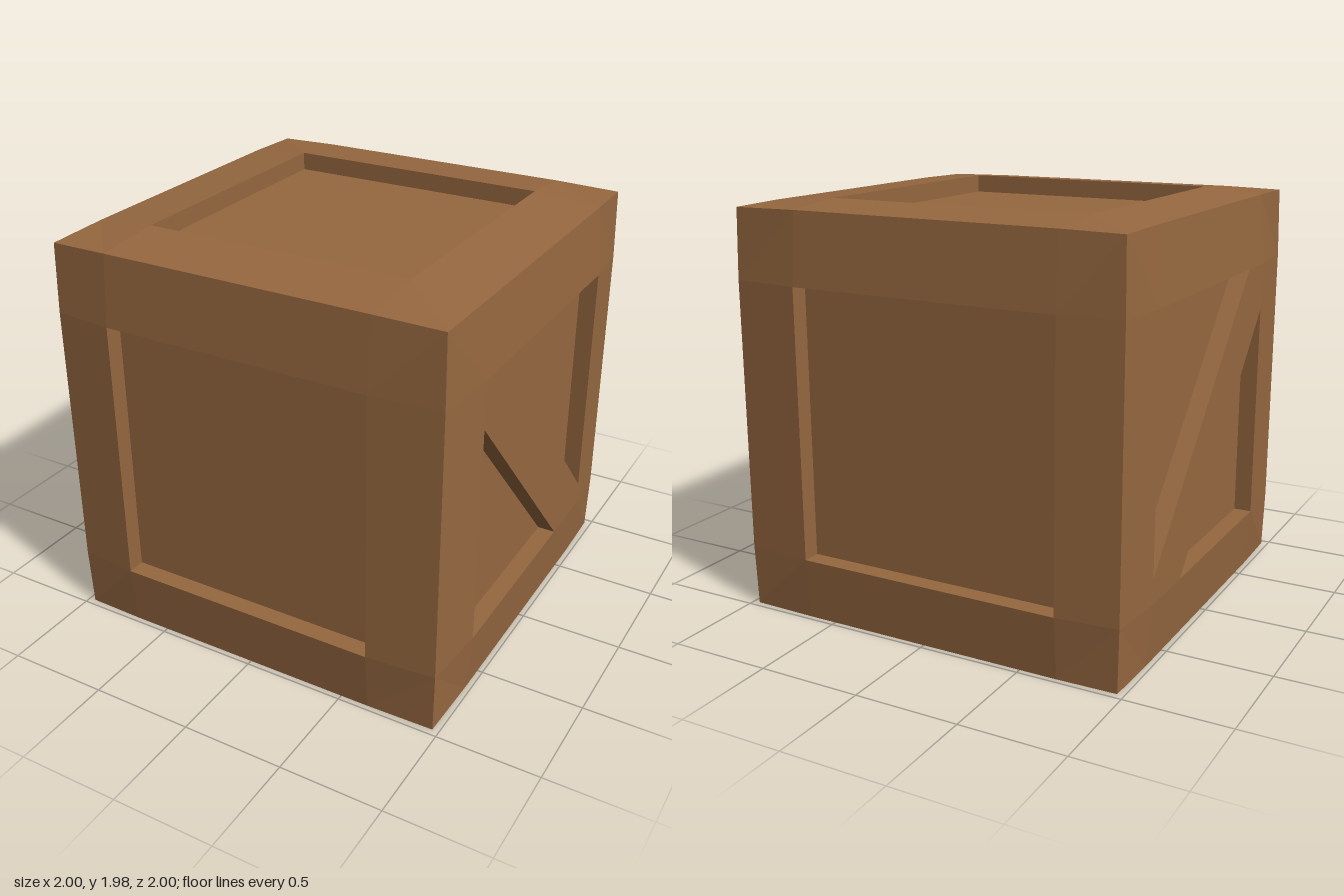
import * as THREE from 'three';

const wood = new THREE.MeshStandardMaterial({ color: 0x966840 });
wood.name = 'brownWood';
wood.flatShading = true;

// Inner borders of the frame along x, y, z
const CUTS = [[-0.68, 0.64], [0.30, 1.61], [-0.68, 0.64]];
// Outer limits by closeness to an edge: face centre, edge, corner
const SIDE = [1.0, 0.974, 0.967];
const TOP = [1.977, 1.951, 1.946];
const FLOOR = 0.912;

// Point on the slightly bulging box lattice; each index runs 0..3
function lattice(index) {
  const extremes = index.filter((i) => i === 0 || i === 3).length - 1;
  return index.map((i, axis) => {
    if (i === 1 || i === 2) return CUTS[axis][i - 1];
    if (axis === 1) return i === 3 ? TOP[extremes] : 0;
    return (i === 3 ? 1 : -1) * SIDE[extremes];
  });
}

// Flat-shaded mesh from convex polygons
function polygonMesh(name, polygons, flip) {
  const positions = [];
  for (const polygon of polygons) {
    const p = flip ? [...polygon].reverse() : polygon;
    for (let i = 1; i < p.length - 1; i++) positions.push(...p[0], ...p[i], ...p[i + 1]);
  }
  const geometry = new THREE.BufferGeometry();
  geometry.setAttribute('position', new THREE.Float32BufferAttribute(positions, 3));
  geometry.computeVertexNormals();
  const mesh = new THREE.Mesh(geometry, wood);
  mesh.name = name;
  return mesh;
}

// Openings on the braced sides, as (y, z) corners
const BRACED_HOLES = [
  [[0.42, -0.68], [1.61, -0.68], [1.61, 0.44]],
  [[0.30, 0.64], [0.30, -0.36], [1.38, 0.64]],
];
const BRACE = [[1.38, 0.64], [0.30, -0.36], [0.30, -0.68], [0.42, -0.68], [1.61, 0.44], [1.61, 0.64]];

function crateFace(name, axis, positive) {
  const face = new THREE.Group();
  face.name = name;
  const u = (axis + 1) % 3;
  const v = (axis + 2) % 3;
  const flip = !positive;

  // Places a (u, v) outline at a given height along the face axis
  const place = ([a, b], level) => {
    const p = [0, 0, 0];
    p[axis] = level;
    p[u] = a;
    p[v] = b;
    return p;
  };
  const outer = axis === 1 ? (positive ? TOP[0] : 0) : (positive ? 1 : -1) * SIDE[0];
  const inner = axis === 1 ? (positive ? 1.888 : 0.065) : (positive ? 1 : -1) * FLOOR;

  // Frame: ring of eight patches around the middle
  const corner = (i, j) => {
    const index = [0, 0, 0];
    index[axis] = positive ? 3 : 0;
    index[u] = i;
    index[v] = j;
    return lattice(index);
  };
  const frame = [];
  for (let i = 0; i < 3; i++) {
    for (let j = 0; j < 3; j++) {
      if (i === 1 && j === 1) continue;
      frame.push([corner(i, j), corner(i + 1, j), corner(i + 1, j + 1), corner(i, j + 1)]);
    }
  }
  face.add(polygonMesh('frame', frame, flip));

  // Recessed panels with their side walls
  const [u0, u1] = CUTS[u];
  const [v0, v1] = CUTS[v];
  const braced = axis === 0;
  const holes = braced ? BRACED_HOLES : [[[u0, v0], [u1, v0], [u1, v1], [u0, v1]]];
  const walls = [];
  for (const hole of holes) {
    hole.forEach((p, i) => {
      const q = hole[(i + 1) % hole.length];
      walls.push([place(p, outer), place(q, outer), place(q, inner), place(p, inner)]);
    });
  }
  face.add(polygonMesh('recessWalls', walls, flip));
  face.add(polygonMesh('panel', holes.map((hole) => hole.map((p) => place(p, inner))), flip));

  // Diagonal brace
  if (braced) face.add(polygonMesh('diagonalBrace', [BRACE.map((p) => place(p, outer))], flip));
  return face;
}

export function createModel() {
  const crate = new THREE.Group();
  crate.name = 'crate';
  [['right', 'left'], ['bottom', 'top'], ['back', 'front']].forEach((names, axis) => {
    names.forEach((name, side) => crate.add(crateFace(name + 'Side', axis, side === 1)));
  });
  return crate;
}
